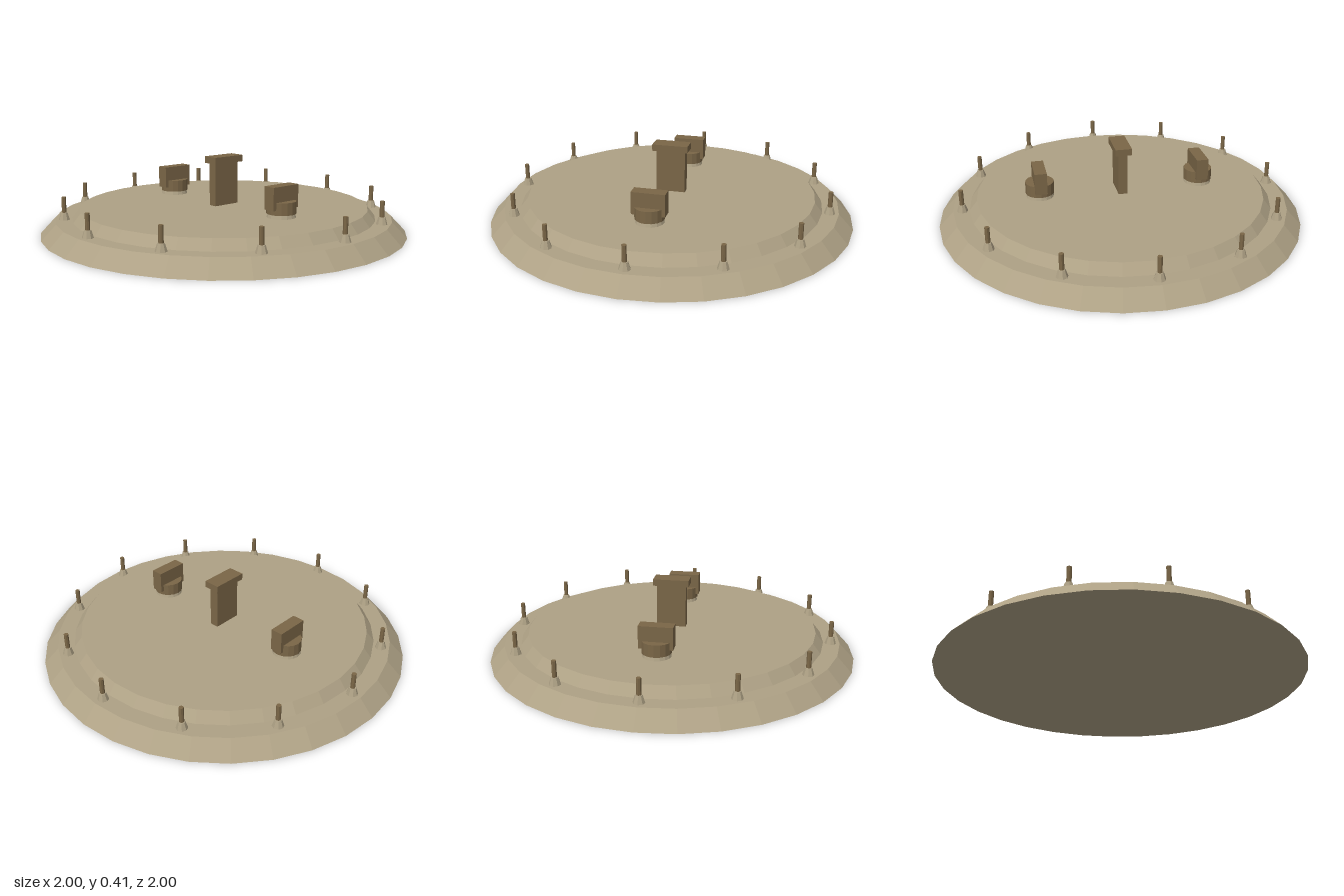
import * as THREE from 'three';

export function createModel() {
  const model = new THREE.Group();
  model.name = 'studdedHatch';

  const mat = (name, color) => {
    const m = new THREE.MeshStandardMaterial({ color, flatShading: true });
    m.name = name;
    return m;
  };
  const tan = mat('tan', 0xaea185);
  const brown = mat('brown', 0x7a6647);

  const add = (parent, name, geometry, material, x, y, z) => {
    const mesh = new THREE.Mesh(geometry, material);
    mesh.name = name;
    mesh.position.set(x, y, z);
    parent.add(mesh);
  };
  // Shapes standing on y0 and reaching y1
  const disc = (parent, name, rTop, rBottom, y0, y1, sides, material) =>
    add(parent, name, new THREE.CylinderGeometry(rTop, rBottom, y1 - y0, sides), material, 0, (y0 + y1) / 2, 0);
  const block = (parent, name, w, d, y0, y1, material) =>
    add(parent, name, new THREE.BoxGeometry(w, y1 - y0, d), material, 0, (y0 + y1) / 2, 0);
  const group = (name, x, z) => {
    const g = new THREE.Group();
    g.name = name;
    g.position.set(x, 0, z);
    model.add(g);
    return g;
  };

  // Stepped round plate with sloping rims
  disc(model, 'basePlate', 0.92, 1, 0, 0.083, 32, tan);
  disc(model, 'raisedPlate', 0.79, 0.832, 0.083, 0.135, 32, tan);

  // Ring of studs on the lower step
  for (let i = 0; i < 12; i++) {
    const a = (i / 12) * Math.PI * 2;
    const stud = group('stud', Math.sin(a) * 0.87, Math.cos(a) * 0.87);
    disc(stud, 'studNut', 0.018, 0.03, 0.083, 0.122, 8, tan);
    disc(stud, 'studRod', 0.0125, 0.0125, 0.122, 0.206, 8, brown);
  }

  // T-shaped handle in the middle
  const handle = group('centreHandle', 0, 0);
  block(handle, 'handleStem', 0.16, 0.05, 0.135, 0.37, brown);
  block(handle, 'handleCap', 0.196, 0.09, 0.37, 0.406, brown);

  // Turn knobs at front and back
  for (const side of [1, -1]) {
    const knob = group(side > 0 ? 'frontKnob' : 'backKnob', 0, side * 0.448);
    disc(knob, 'knobCollar', 0.07, 0.076, 0.135, 0.155, 16, tan);
    disc(knob, 'knobDrum', 0.078, 0.078, 0.155, 0.22, 16, brown);
    block(knob, 'knobGrip', 0.178, 0.066, 0.18, 0.3, brown);
  }

  return model;
}
